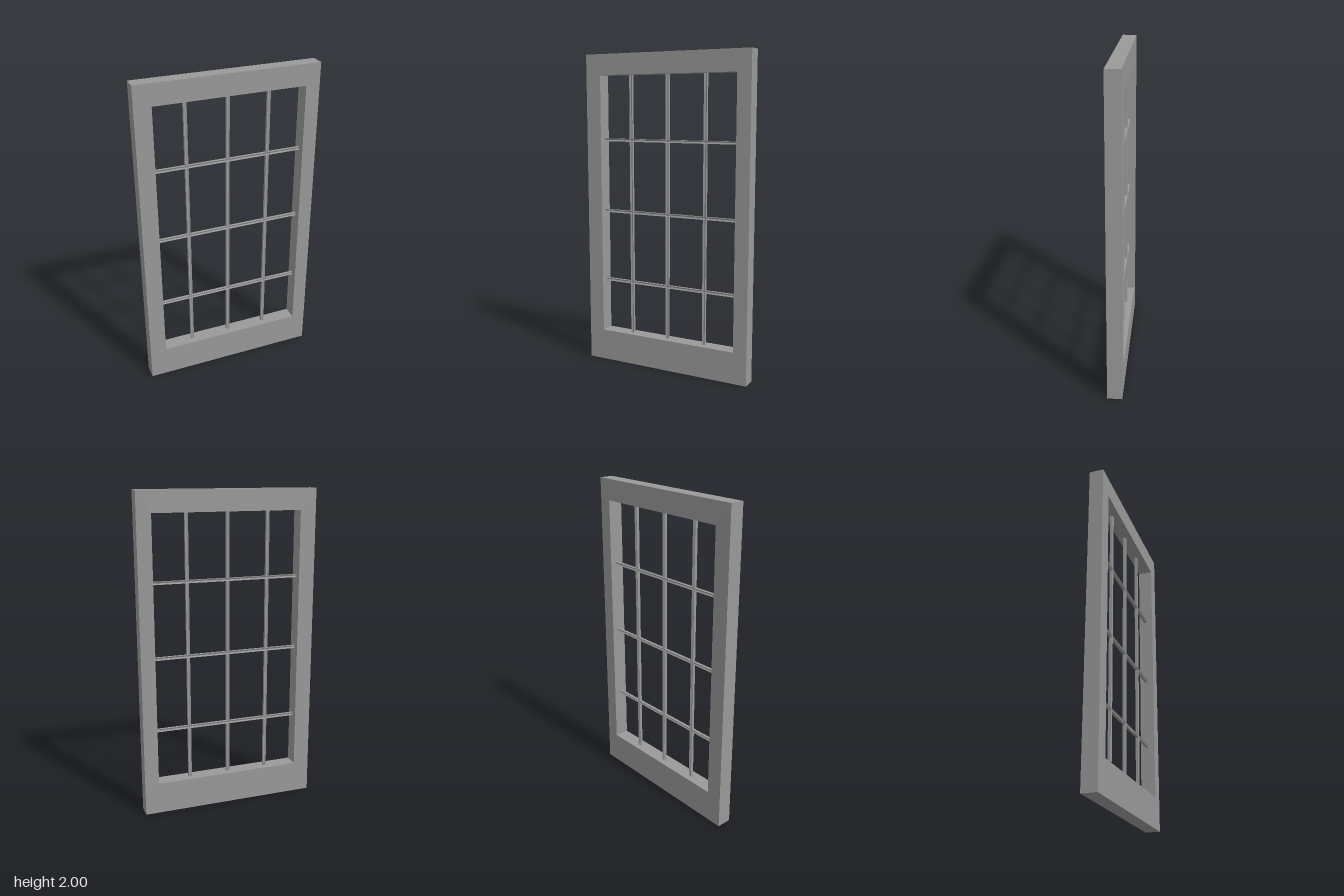
import * as THREE from 'three';

const FRONT = 0.046, BACK = -0.047, TOP_BACK = -0.043;
const OPEN = { left: -0.457, right: 0.472, bottom: 0.2, top: 1.87 };
const BAR_DEPTH = 0.018, BAR_Z = -0.003;

const points = (pairs) => pairs.map(([x, y]) => new THREE.Vector2(x, y));

const rectangle = (x0, y0, x1, y1) => points([[x0, y0], [x1, y0], [x1, y1], [x0, y1]]);

// Glazing bar along z, its front and back faces cut by a shallow V groove
function barGeometry(length, width) {
  const w = width / 2, d = BAR_DEPTH / 2, groove = d * 0.45;
  const profile = new THREE.Shape(points([
    [-w, -d], [0, -groove], [w, -d], [w, d], [0, groove], [-w, d],
  ]));
  const geometry = new THREE.ExtrudeGeometry(profile, { depth: length, bevelEnabled: false });
  return geometry.translate(0, 0, -length / 2);
}

export function createModel() {
  const model = new THREE.Group();
  model.name = 'windowSash';
  const material = new THREE.MeshStandardMaterial({ color: 0x999999, flatShading: true });

  const add = (name, geometry, x, y, z) => {
    const mesh = new THREE.Mesh(geometry, material);
    mesh.name = name;
    mesh.position.set(x, y, z);
    model.add(mesh);
  };

  // Surrounding frame with a deep bottom rail
  const outline = new THREE.Shape(rectangle(-0.56, 0, 0.56, 2));
  outline.holes.push(new THREE.Path(rectangle(OPEN.left, OPEN.bottom, OPEN.right, OPEN.top)));
  const frame = new THREE.ExtrudeGeometry(outline, { depth: FRONT - BACK, bevelEnabled: false });
  frame.translate(0, 0, BACK);
  // The back leans in slightly at the top edge
  const p = frame.attributes.position;
  for (let i = 0; i < p.count; i++) {
    if (p.getY(i) > 1.99 && p.getZ(i) < 0) p.setZ(i, TOP_BACK);
  }
  frame.computeVertexNormals();
  add('frame', frame, 0, 0, 0);

  // Upright bars
  const height = OPEN.top - OPEN.bottom;
  for (const x of [-0.257, 0, 0.256]) {
    const bar = barGeometry(height, 0.02).rotateX(Math.PI / 2);
    add('verticalBar', bar, x, (OPEN.top + OPEN.bottom) / 2, BAR_Z);
  }

  // Cross bars, the same profile turned to run along x
  const span = OPEN.right - OPEN.left;
  for (const y of [0.541, 1.002, 1.463]) {
    const bar = barGeometry(span, 0.018).rotateX(Math.PI / 2).rotateZ(Math.PI / 2);
    add('horizontalBar', bar, (OPEN.left + OPEN.right) / 2, y, BAR_Z);
  }

  return model;
}
